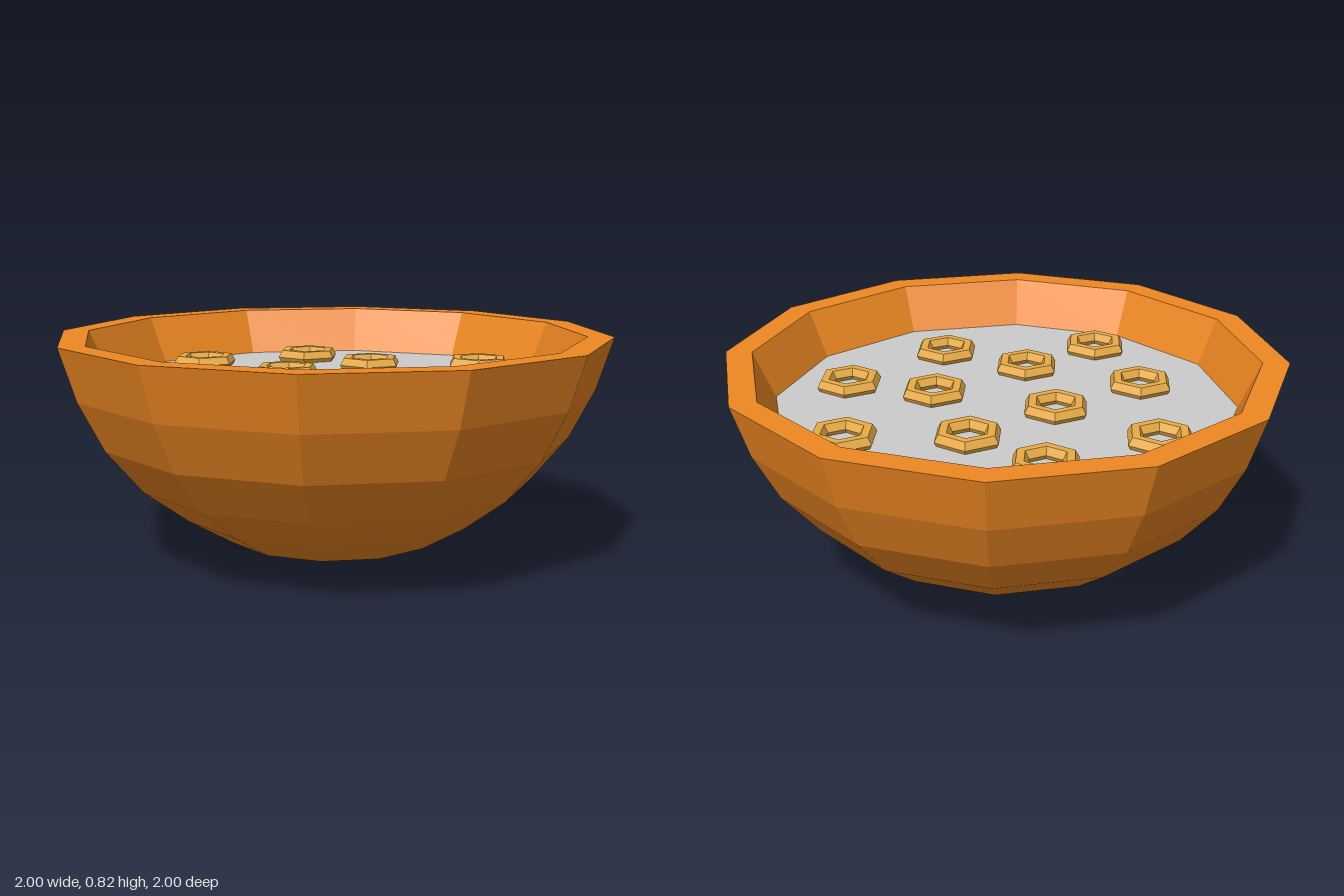
import * as THREE from 'three';

const SIDES = 12;
const MILK_Y = 0.65;

const material = (color) => new THREE.MeshStandardMaterial({ color, flatShading: true });

function part(name, geometry, mat) {
  const mesh = new THREE.Mesh(geometry, mat);
  mesh.name = name;
  return mesh;
}

export function createModel() {
  const model = new THREE.Group();
  model.name = 'cerealBowl';

  // Bowl: outer wall upward, flat rim, inner wall back down
  const profile = [
    [0, 0], [0.2, 0.025], [0.39, 0.08], [0.56, 0.18], [0.72, 0.3], [0.85, 0.455], [0.94, 0.63], [1, 0.82],
    [0.905, 0.82], [0.83, MILK_Y], [0.74, 0.47], [0.63, 0.33], [0.48, 0.21], [0.3, 0.13], [0, 0.1],
  ].map(([r, y]) => new THREE.Vector2(r, y));
  model.add(part('bowl', new THREE.LatheGeometry(profile, SIDES), material(0xee8822)));

  // Milk surface
  const milk = part('milk', new THREE.CircleGeometry(0.83, SIDES).rotateX(-Math.PI / 2), material(0xcccccc));
  milk.position.y = MILK_Y;
  model.add(milk);

  // Floating cereal rings, six-sided around and in section
  const ringGeometry = new THREE.TorusGeometry(0.094, 0.031, 6, 6).rotateX(-Math.PI / 2);
  const ringMaterial = material(0xe8ab46);
  const spots = [
    [-0.305, -0.55], [0.13, -0.55], [0.26, -0.24], [-0.12, -0.16],
    [-0.505, -0.1], [0.64, -0.06], [-0.555, 0.315], [-0.215, 0.245],
    [0.2, 0.17], [0.445, 0.39], [-0.01, 0.53],
  ];
  const cereal = new THREE.Group();
  cereal.name = 'cereal';
  for (const [x, z] of spots) {
    const ring = part('cerealRing', ringGeometry, ringMaterial);
    ring.position.set(x, MILK_Y + 0.015, z);
    cereal.add(ring);
  }
  model.add(cereal);

  return model;
}
